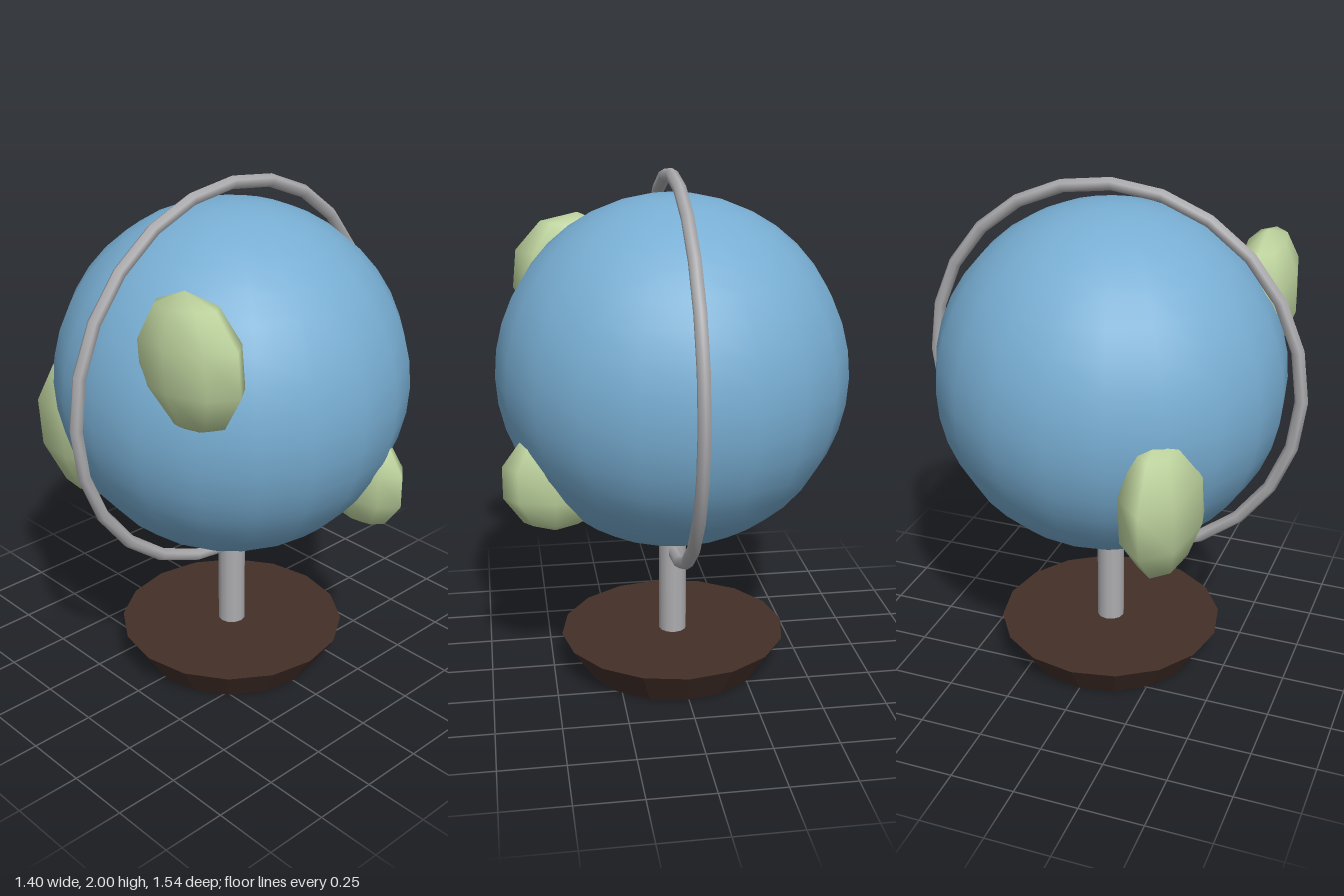
import * as THREE from 'three';

const mat = (name, color) => {
  const m = new THREE.MeshStandardMaterial({ color });
  m.name = name;
  return m;
};

export function createModel() {
  const model = new THREE.Group();
  model.name = 'deskGlobe';
  const ocean = mat('oceanBlue', 0x78aed3);
  const land = mat('landGreen', 0xbdd29d);
  const metal = mat('metalGrey', 0xadadb0);
  const wood = mat('darkWood', 0x432f28);
  wood.flatShading = true;

  const CX = 0.012, CY = 1.23;
  const add = (name, geometry, material, x, y, z) => {
    const mesh = new THREE.Mesh(geometry, material);
    mesh.name = name;
    mesh.position.set(x, y, z);
    model.add(mesh);
    return mesh;
  };

  // Foot and post
  add('base', new THREE.CylinderGeometry(0.452, 0.36, 0.14, 16), wood, CX, 0.07, 0);
  add('post', new THREE.CylinderGeometry(0.055, 0.055, 0.42, 12), metal, CX, 0.34, 0);

  // Ball and the ring around it, standing in the front-to-back plane
  add('globe', new THREE.SphereGeometry(0.677, 20, 20), ocean, CX, CY, 0);
  const ring = add('ring', new THREE.TorusGeometry(0.745, 0.025, 6, 24), metal, CX, CY, 0);
  ring.rotation.y = Math.PI / 2;

  // Flattened land masses half sunk in the ball: size, x, y, z, tilt
  const lands = [
    ['upperLand', 0.25, 0.352, 1.52, 0.51, 0.1],
    ['lowerLand', 0.30, -0.415, 0.985, 0.36, 0.1],
    ['rearLand', 0.20, 0.49, 0.89, -0.235, 0],
  ];
  for (const [name, r, x, y, z, tilt] of lands) {
    const blob = add(name, new THREE.SphereGeometry(r, 8, 5), land, x, y, z);
    blob.scale.z = 0.5;
    blob.rotation.z = tilt;
  }
  return model;
}
